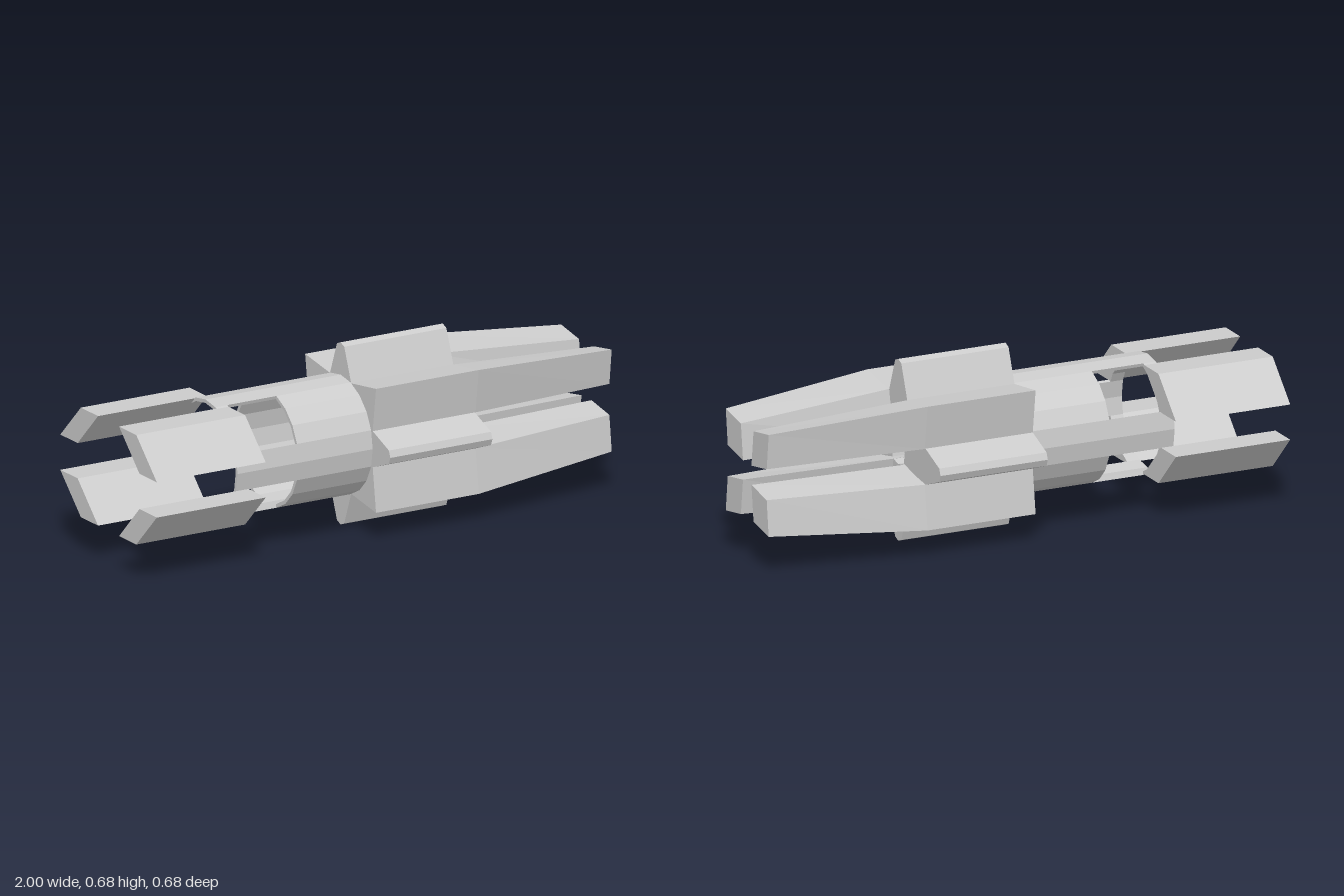
import * as THREE from 'three';

const material = new THREE.MeshStandardMaterial({ color: 0xcccccc, flatShading: true, side: THREE.DoubleSide });
const STEP = Math.PI / 10; // twenty-sided tube
const OUTER = 0.22, INNER = 0.207;

// Points of an arc, as [z, y] pairs, counted in tube facets
function arc(radius, from, to) {
  const points = [];
  for (let i = from; i <= to; i++) points.push([radius * Math.cos(i * STEP), radius * Math.sin(i * STEP)]);
  return points;
}

const toVectors = (points) => points.map(([z, y]) => new THREE.Vector2(-z, y));

// Extrudes a [z, y] outline along x
function prism(name, outline, x0, x1, hole) {
  const shape = new THREE.Shape(toVectors(outline));
  if (hole) shape.holes.push(new THREE.Path(toVectors(hole)));
  const geometry = new THREE.ExtrudeGeometry(shape, { depth: x1 - x0, bevelEnabled: false });
  geometry.rotateY(Math.PI / 2);
  geometry.translate(x0, 0, 0);
  const mesh = new THREE.Mesh(geometry, material);
  mesh.name = name;
  return mesh;
}

// Joins convex [z, y] sections placed along x, with closed ends
function loft(name, sections) {
  const pos = [];
  const tri = (...corners) => corners.forEach((c) => pos.push(...c));
  const rings = sections.map(({ x, points }) => {
    let area = 0;
    points.forEach(([z, y], i) => {
      const [z2, y2] = points[(i + 1) % points.length];
      area += y * z2 - y2 * z;
    });
    const ordered = area < 0 ? [...points].reverse() : points;
    return ordered.map(([z, y]) => [x, y, z]);
  });
  const n = rings[0].length;
  for (let s = 0; s < rings.length - 1; s++) {
    const a = rings[s], b = rings[s + 1];
    for (let i = 0; i < n; i++) {
      const j = (i + 1) % n;
      tri(a[i], a[j], b[j]);
      tri(a[i], b[j], b[i]);
    }
  }
  const first = rings[0], last = rings[rings.length - 1];
  for (let i = 1; i < n - 1; i++) {
    tri(first[0], first[i + 1], first[i]);
    tri(last[0], last[i], last[i + 1]);
  }
  const geometry = new THREE.BufferGeometry();
  geometry.setAttribute('position', new THREE.Float32BufferAttribute(pos, 3));
  geometry.computeVertexNormals();
  const mesh = new THREE.Mesh(geometry, material);
  mesh.name = name;
  return mesh;
}

export function createModel() {
  const model = new THREE.Group();
  model.name = 'spacecraft';
  const body = new THREE.Group();
  body.name = 'body';
  body.position.y = 0.337;
  model.add(body);

  // Hollow tube with a rear ring; the windows lie between the four struts
  body.add(prism('tube', arc(OUTER, 0, 19), -0.34, 0, arc(INNER, 0, 19)));
  body.add(prism('rearRing', arc(OUTER, 0, 19), -0.595, -0.545, arc(INNER, 0, 19)));
  for (let k = 0; k < 4; k++) {
    const outline = [...arc(OUTER, 5 * k - 1, 5 * k + 1), ...arc(INNER, 5 * k - 1, 5 * k + 1).reverse()];
    body.add(prism('strut', outline, -0.545, -0.34));
  }

  // Four fins around the front half
  const half = [[0.038, 0.045], [0.073, 0.206], [0.025, 0.331]];
  const fin = [[0, 0.053], ...half, [0, 0.341], ...half.map(([z, y]) => [-z, y]).reverse()];
  for (let k = 0; k < 4; k++) {
    const mesh = prism('fin', fin, -0.03, 0.397);
    mesh.rotation.x = k * Math.PI / 2;
    body.add(mesh);
  }

  // Diagonal pairs: tapering prongs in front, slanted blades behind
  const root = [[0.243, 0.232], [0.073, 0.207], [0.04, 0.045], [0.22, 0.067]];
  const tip = [[0.173, 0.191], [0.051, 0.17], [0.034, 0.036], [0.157, 0.058]];
  const blade = [[0.331, 0.066], [0.19, 0.205], [0.072, 0.205], [0.212, 0.066]];
  for (const sz of [1, -1]) {
    for (const sy of [1, -1]) {
      const flip = (points) => points.map(([z, y]) => [z * sz, y * sy]);
      body.add(loft('prong', [
        { x: -0.03, points: flip(root) },
        { x: 0.4, points: flip(root) },
        { x: 0.998, points: flip(tip) },
      ]));
      body.add(prism('rearBlade', flip(blade), -1, -0.545));
    }
  }
  return model;
}
